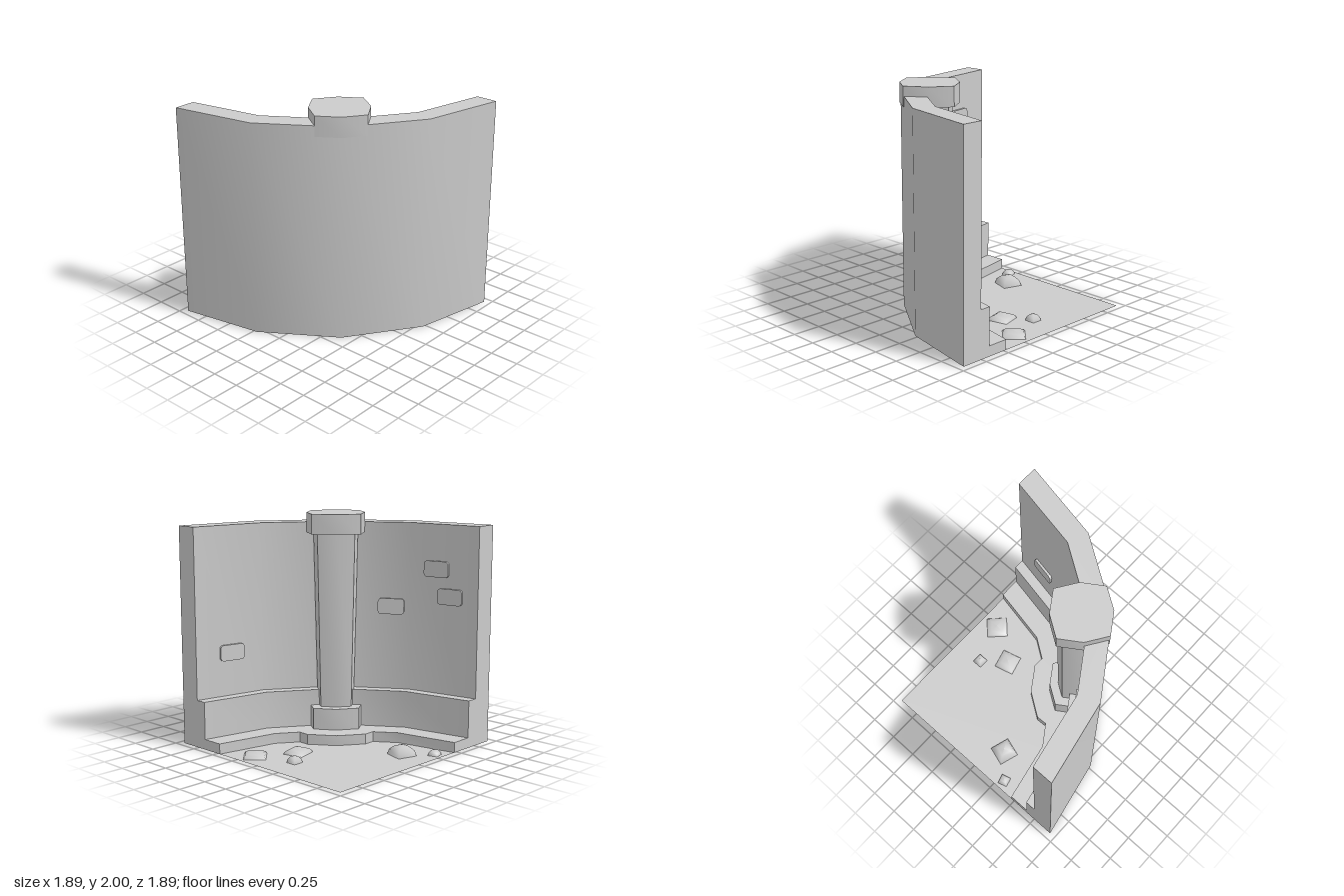
import * as THREE from 'three';
import { toCreasedNormals } from 'three/addons/utils/BufferGeometryUtils.js';

const O = -0.945; // corner of the floor, centre of the curved wall
const C = 0.217; // column axis, same in x and z
const CREASE = Math.PI / 6;
const DEG = Math.PI / 180;
const material = new THREE.MeshStandardMaterial({ color: 0xcccccc });
const doubleSided = new THREE.MeshStandardMaterial({ color: 0xcccccc, side: THREE.DoubleSide });

// Points of a faceted quarter circle, from +x round to +z
const arc = (r) => [0, 22.5, 45, 67.5, 90].map((a) =>
  new THREE.Vector2(O + r * Math.cos(a * DEG), O + r * Math.sin(a * DEG)));

// Upright prism from a plan outline in x and z
function prism(points, y0, y1) {
  const geo = new THREE.ExtrudeGeometry(new THREE.Shape(points), { depth: y1 - y0, bevelEnabled: false });
  return geo.rotateX(Math.PI / 2).translate(0, y1, 0);
}

function add(parent, name, geo, mat = material) {
  const mesh = new THREE.Mesh(toCreasedNormals(geo, CREASE), mat);
  mesh.name = name;
  parent.add(mesh);
  return mesh;
}

// Eight-cornered column section that may taper
function columnPart(rBottom, rTop, y0, y1) {
  const plan = [];
  for (let i = 0; i < 8; i++) {
    const r = i % 2 ? 0.85 : 1;
    plan.push(new THREE.Vector2(r * Math.cos(i * 45 * DEG), r * Math.sin(i * 45 * DEG)));
  }
  const geo = prism(plan, y0, y1);
  const p = geo.attributes.position;
  for (let i = 0; i < p.count; i++) {
    const s = THREE.MathUtils.lerp(rBottom, rTop, (p.getY(i) - y0) / (y1 - y0));
    p.setXYZ(i, C + p.getX(i) * s, p.getY(i), C + p.getZ(i) * s);
  }
  return geo;
}

// Thin block with rounded corners
function brickGeometry(w, h, r) {
  const s = new THREE.Shape();
  [[1, 1, 0], [-1, 1, 90], [-1, -1, 180], [1, -1, 270]].forEach(([sx, sy, a]) =>
    s.absarc(sx * (w / 2 - r), sy * (h / 2 - r), r, a * DEG, (a + 90) * DEG, false));
  return new THREE.ExtrudeGeometry(s, { depth: 0.032, bevelEnabled: false, curveSegments: 3 }).translate(0, 0, -0.01);
}

export function createModel() {
  const model = new THREE.Group();
  model.name = 'curvedWallCorner';

  // Floor
  const floor = new THREE.ShapeGeometry(new THREE.Shape([new THREE.Vector2(O, O), ...arc(1.89)]));
  add(model, 'floor', floor.rotateX(Math.PI / 2), doubleSided);

  // Wall, ledge and step, each a faceted band
  add(model, 'wall', prism([...arc(1.89), ...arc(1.7).reverse()], 0, 1.915));
  add(model, 'ledge', prism([...arc(1.7), ...arc(1.605).reverse()], 0, 0.42));

  // The step bulges out around the column
  const inner = arc(1.415);
  const bulge = [[0.235, -0.22], [0.137, -0.224], [-0.078, -0.078], [-0.224, 0.137], [-0.22, 0.235]]
    .map(([x, z]) => new THREE.Vector2(x, z));
  inner.splice(2, 1, ...bulge);
  add(model, 'step', prism([...arc(1.605), ...inner.reverse()], 0, 0.09));

  // Column
  const column = new THREE.Group();
  column.name = 'column';
  model.add(column);
  add(column, 'columnBase', columnPart(0.284, 0.284, 0.05, 0.28));
  add(column, 'columnShaft', columnPart(0.19, 0.23, 0.27, 1.84));
  add(column, 'columnCapital', columnPart(0.3, 0.3, 1.825, 2));

  // Raised bricks: facet angle, offset along the facet, height
  [[11.25, 0.016, 0.805], [56.25, 0.169, 1.17], [78.75, -0.065, 1.525], [78.75, 0.069, 1.29]].forEach(([deg, t, y]) => {
    const c = Math.cos(deg * DEG), s = Math.sin(deg * DEG);
    const d = 1.7 * Math.cos(11.25 * DEG);
    const brick = add(model, 'wallBrick', brickGeometry(0.235, 0.14, 0.03));
    brick.position.set(O + d * c - t * s, y, O + d * s + t * c);
    brick.rotation.y = Math.atan2(-c, -s);
  });

  // Loose stones: x, z, radius, height, turn
  [[-0.155, -0.665, 0.067, 0.06, 45], [0.205, -0.78, 0.135, 0.045, 0], [0.013, -0.46, 0.13, 0.05, 60],
    [-0.66, 0.115, 0.128, 0.09, 28], [-0.863, 0.303, 0.063, 0.05, 61]].forEach(([x, z, r, h, turn]) => {
    const profile = [[1, 0], [0.87, 0.5], [0.5, 0.87], [0, 1]].map(([a, b]) => new THREE.Vector2(a * r, b * h));
    const stone = new THREE.Mesh(new THREE.LatheGeometry(profile, 4), material);
    stone.name = 'stone';
    stone.position.set(x, 0, z);
    stone.rotation.y = turn * DEG;
    model.add(stone);
  });

  return model;
}
